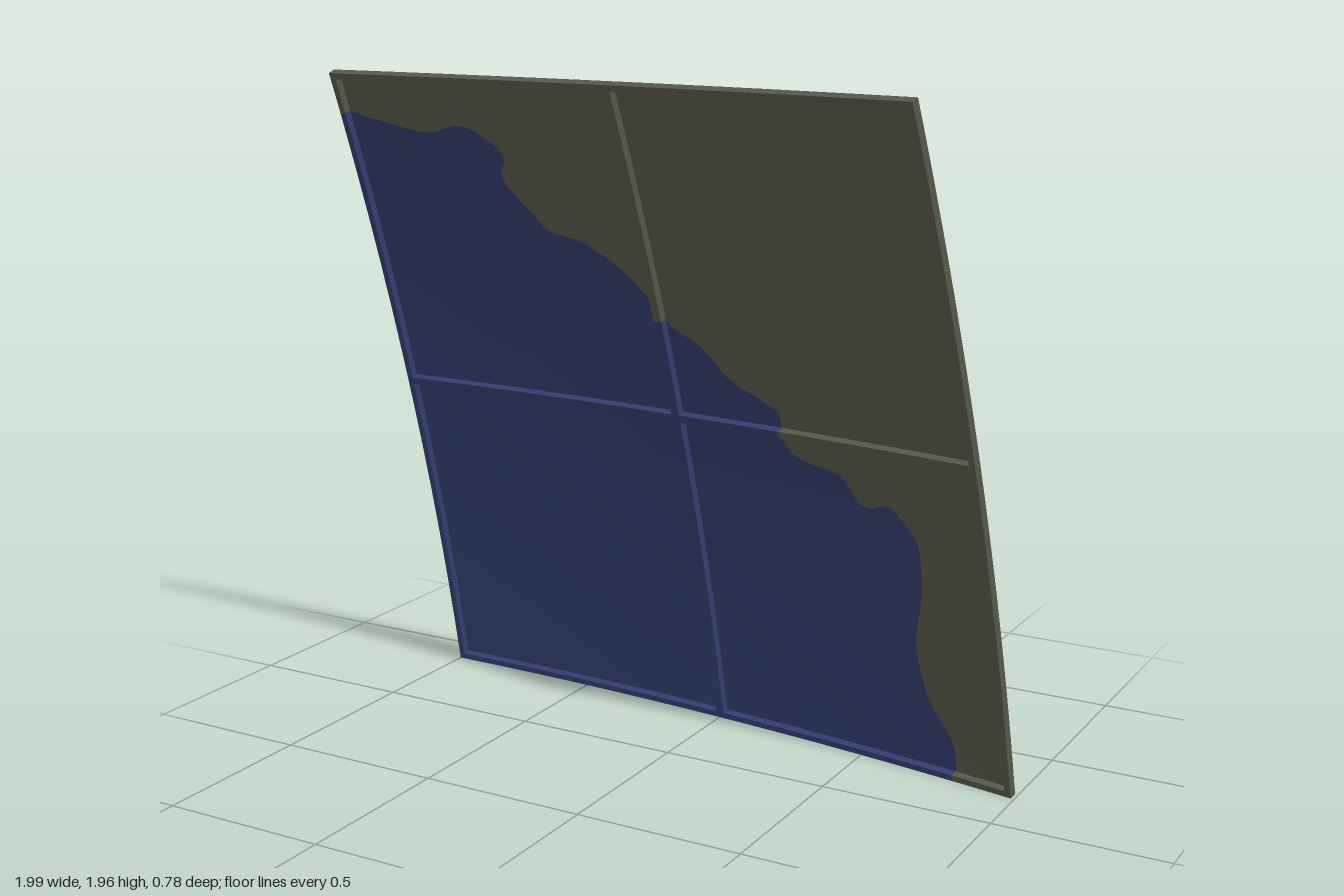
import * as THREE from 'three';

const blue = new THREE.MeshStandardMaterial({ color: 0x323e6e, side: THREE.DoubleSide });
blue.name = 'navy blue';
const olive = new THREE.MeshStandardMaterial({ color: 0x565848, side: THREE.DoubleSide });
olive.name = 'olive grey';

const BOTTOM = 0.006, TOP = 1.957, RIB = 0.025;

// Curved sheet: depth and front normal at any (x, y)
const depth = (x, y) =>
  -0.395 + 0.19 * y + 0.053 * y * y + (0.0475 + 0.0025 * y) * (x + 1) ** 2;
const normal = (x, y) => new THREE.Vector3(
  -2 * (0.0475 + 0.0025 * y) * (x + 1),
  -(0.19 + 0.106 * y + 0.0025 * (x + 1) ** 2),
  1
).normalize();
const rightEdge = y => 0.994 - 0.036 * y - 0.011 * y * y;
const middle = y => 0.005 - 0.018 * y - 0.005 * y * y;

// Wavy border between the two colours, from the left edge to the bottom
const border = new THREE.SplineCurve([
  [-1, 1.84], [-0.87, 1.81], [-0.72, 1.785], [-0.6, 1.81], [-0.5, 1.765], [-0.47, 1.72],
  [-0.49, 1.66], [-0.4, 1.55], [-0.36, 1.515], [-0.25, 1.49], [-0.13, 1.415], [-0.05, 1.33],
  [0, 1.27], [0.1, 1.21], [0.17, 1.13], [0.29, 1.07], [0.325, 1.04], [0.33, 0.96],
  [0.38, 0.915], [0.5, 0.89], [0.55, 0.82], [0.59, 0.805], [0.65, 0.82], [0.71, 0.76],
  [0.735, 0.7], [0.73, 0.56], [0.7, 0.4], [0.73, 0.24], [0.77, 0.17], [0.805, 0.1],
  [0.805, BOTTOM]
].map(p => new THREE.Vector2(...p))).getPoints(120);

// Keep the part of a polygon where sign * (point[axis] - limit) >= 0
function clip(poly, axis, limit, sign) {
  const out = [];
  poly.forEach((a, i) => {
    const b = poly[(i + 1) % poly.length];
    const da = sign * (a[axis] - limit), db = sign * (b[axis] - limit);
    if (da >= 0) out.push(a);
    if (da * db < 0) out.push(a.clone().lerp(b, da / (da - db)));
  });
  return out;
}

// Cut a flat outline into cells and lay them on the curved sheet
function sheet(name, outline, material) {
  const pos = [], nor = [], step = 0.25;
  for (let x = -1; x < 1; x += step) {
    for (let y = 0; y < 2; y += step) {
      let cell = clip(clip(outline, 'x', x, 1), 'x', x + step, -1);
      cell = clip(clip(cell, 'y', y, 1), 'y', y + step, -1);
      if (cell.length < 3) continue;
      for (const [i, j, k] of THREE.ShapeUtils.triangulateShape(cell, [])) {
        const a = cell[i], b = cell[j], c = cell[k];
        const area = (b.x - a.x) * (c.y - a.y) - (b.y - a.y) * (c.x - a.x);
        if (Math.abs(area) < 1e-9) continue;
        for (const p of area > 0 ? [a, b, c] : [a, c, b]) {
          pos.push(p.x, p.y, depth(p.x, p.y));
          nor.push(...normal(p.x, p.y).toArray());
        }
      }
    }
  }
  const geo = new THREE.BufferGeometry();
  geo.setAttribute('position', new THREE.Float32BufferAttribute(pos, 3));
  geo.setAttribute('normal', new THREE.Float32BufferAttribute(nor, 3));
  const mesh = new THREE.Mesh(geo, material);
  mesh.name = name;
  return mesh;
}

// A bar bent along the sheet's front; place(t, s) gives [x, y] for length t and side offset s
function rib(name, from, to, width, place, material) {
  const geo = new THREE.BoxGeometry(1, width, RIB, 12, 1, 1);
  const p = geo.attributes.position;
  for (let i = 0; i < p.count; i++) {
    const t = from + (p.getX(i) + 0.5) * (to - from);
    const [x, y] = place(t, p.getY(i));
    const v = new THREE.Vector3(x, y, depth(x, y))
      .addScaledVector(normal(x, y), p.getZ(i) + RIB / 2 - 0.001);
    p.setXYZ(i, v.x, v.y, v.z);
  }
  geo.computeVertexNormals();
  const mesh = new THREE.Mesh(geo, material);
  mesh.name = name;
  return mesh;
}

export function createModel() {
  const group = new THREE.Group();
  group.name = 'curvedPanel';
  const V = (x, y) => new THREE.Vector2(x, y);

  // Painted sheet
  const side = Array.from({ length: 13 }, (_, i) => {
    const y = BOTTOM + (TOP - BOTTOM) * i / 12;
    return V(rightEdge(y), y);
  });
  group.add(
    sheet('bluePanel', [V(-1, BOTTOM), ...[...border].reverse()], blue),
    sheet('olivePanel', [...border, ...side, V(-1, TOP)], olive)
  );

  // Frame and cross ribs, each split where the colour changes
  const w = 0.018, m = 0.026;
  const across = y => (t, s) => [t, y + s];
  const upright = f => (t, s) => [f(t) - s, t];
  const left = () => -1 + w / 2, right = y => rightEdge(y) - w / 2;
  const bars = [
    ['bottomFrame', -1, 0.805, rightEdge(BOTTOM), w, across(BOTTOM + w / 2), blue],
    ['middleCrossRib', -1, 0.33, rightEdge(1), 0.022, across(0.995), blue],
    ['topFrame', -1, -0.1, rightEdge(TOP), w, across(TOP - w / 2), olive],
    ['leftFrame', BOTTOM, 1.84, TOP, w, upright(left), blue],
    ['middleUprightRib', BOTTOM, 1.29, TOP, m, upright(middle), blue],
    ['rightFrame', BOTTOM, 1, TOP, w, upright(right), olive]
  ];
  for (const [name, a, split, b, width, place, first] of bars) {
    group.add(
      rib(name + 'A', a, split, width, place, first),
      rib(name + 'B', split, b, width, place, olive)
    );
  }
  return group;
}
